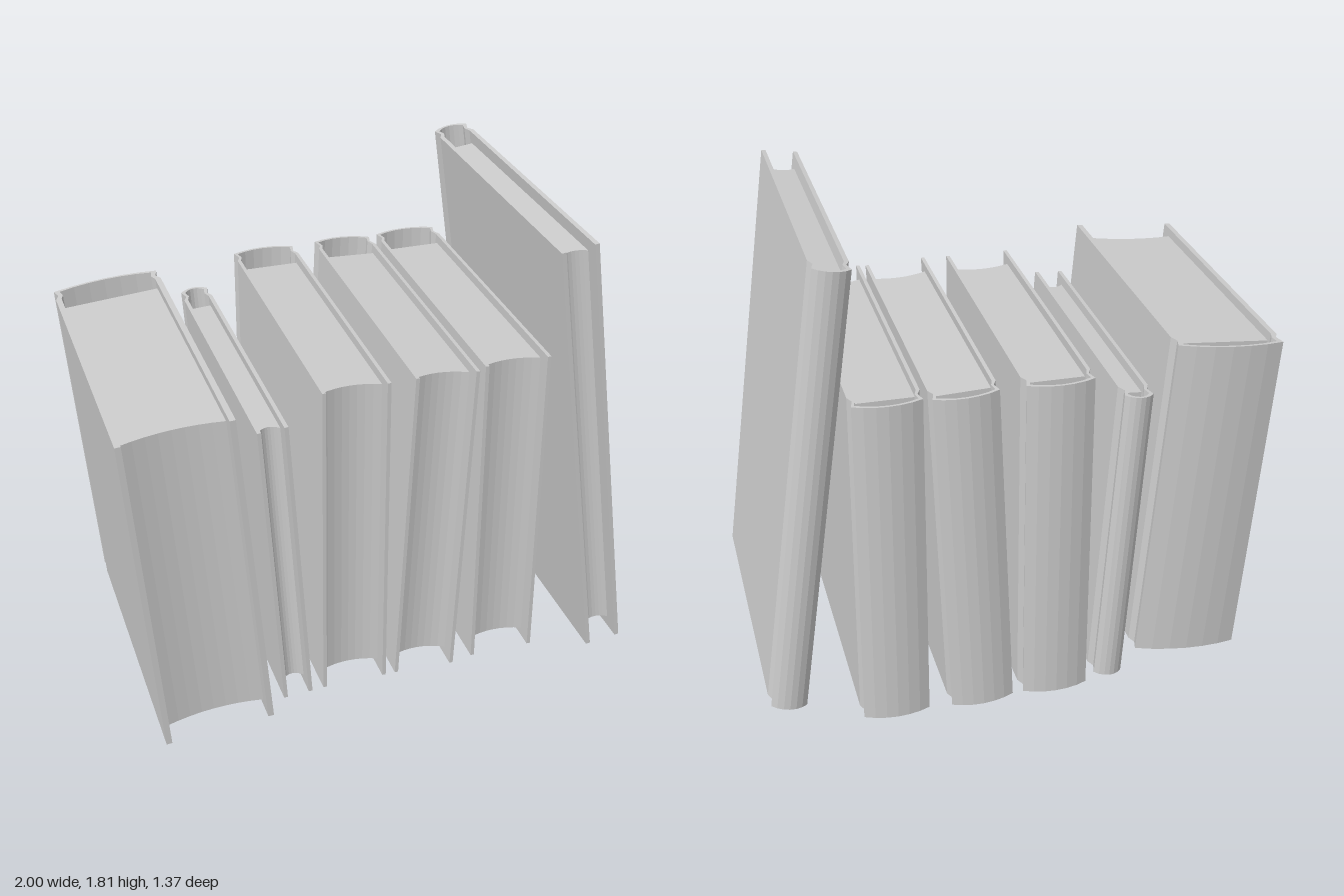
import * as THREE from 'three';

const material = new THREE.MeshStandardMaterial({ color: 0xcccccc, flatShading: true });

// Extrude a top-down outline (x, -z) upward, centred on y = 0
function slab(points, height) {
  const shape = new THREE.Shape(points.map(([x, y]) => new THREE.Vector2(x, y)));
  const geo = new THREE.ExtrudeGeometry(shape, { depth: height, bevelEnabled: false });
  geo.translate(0, 0, -height / 2);
  geo.rotateX(-Math.PI / 2);
  return geo;
}

// One continuous line: right board, hinge groove, rounded spine, left board
function coverLine(half, groove, front, back, spineEnd, bulge) {
  const right = [[half, front], [half, back - 0.1], [half - groove, back - 0.07], [half - 0.003, spineEnd]];
  const arc = [];
  for (let i = 1; i < 6; i++) {
    const u = 1 - i / 3;
    arc.push([u * half, spineEnd + bulge * (1 - u * u)]);
  }
  const left = right.map(([x, y]) => [-x, y]).reverse();
  return [...right, ...arc, ...left];
}

function makeBook({ w, h, d, board, inset }) {
  const book = new THREE.Group();
  const half = w / 2, back = d / 2;

  // Hard cover: thick boards, thin spine
  const outer = coverLine(half, 0.014, -back, back, back - 0.028, 0.028);
  const inner = coverLine(half - board, 0.01, -back, back, back - 0.036, 0.026);
  const cover = new THREE.Mesh(slab([...outer, ...inner.reverse()], h), material);
  cover.name = 'cover';

  // Page block: flat at the back, hollow along the fore edge
  const pw = half - board, fore = -back + 0.062;
  const pages = [[pw, back - 0.116], [-pw, back - 0.116]];
  for (let i = 0; i <= 8; i++) {
    const u = i / 4 - 1;
    pages.push([u * pw, fore + 0.024 * (1 - u * u)]);
  }
  const block = new THREE.Mesh(slab(pages, h - 2 * inset), material);
  block.name = 'pages';

  book.add(cover, block);
  return book;
}

// Centre (x, y), size, sideways lean, and front / spine depth positions
const books = [
  { x: -0.725, y: 0.68, w: 0.418, h: 1.32, lean: 0.082, front: 0.675, rear: -0.58, board: 0.022, inset: 0.034 },
  { x: -0.366, y: 0.607, w: 0.115, h: 1.21, lean: 0.066, front: 0.555, rear: -0.64, board: 0.015, inset: 0.036 },
  { x: -0.095, y: 0.668, w: 0.257, h: 1.315, lean: 0, front: 0.56, rear: -0.685, board: 0.014, inset: 0.035 },
  { x: 0.22, y: 0.666, w: 0.245, h: 1.315, lean: -0.042, front: 0.57, rear: -0.685, board: 0.014, inset: 0.035 },
  { x: 0.525, y: 0.668, w: 0.257, h: 1.315, lean: 0, front: 0.565, rear: -0.677, board: 0.014, inset: 0.035 },
  { x: 0.797, y: 0.924, w: 0.142, h: 1.765, lean: 0.136, front: 0.68, rear: -0.58, board: 0.017, inset: 0.05 },
];

export function createModel() {
  const model = new THREE.Group();
  model.name = 'bookRow';
  books.forEach((b, i) => {
    const book = makeBook({ ...b, d: b.front - b.rear });
    book.name = `book${i + 1}`;
    book.position.set(b.x, b.y, (b.front + b.rear) / 2);
    // Every book is turned very slightly as well as leaning
    book.rotation.set(0, -0.022, b.lean, 'YXZ');
    model.add(book);
  });
  return model;
}
